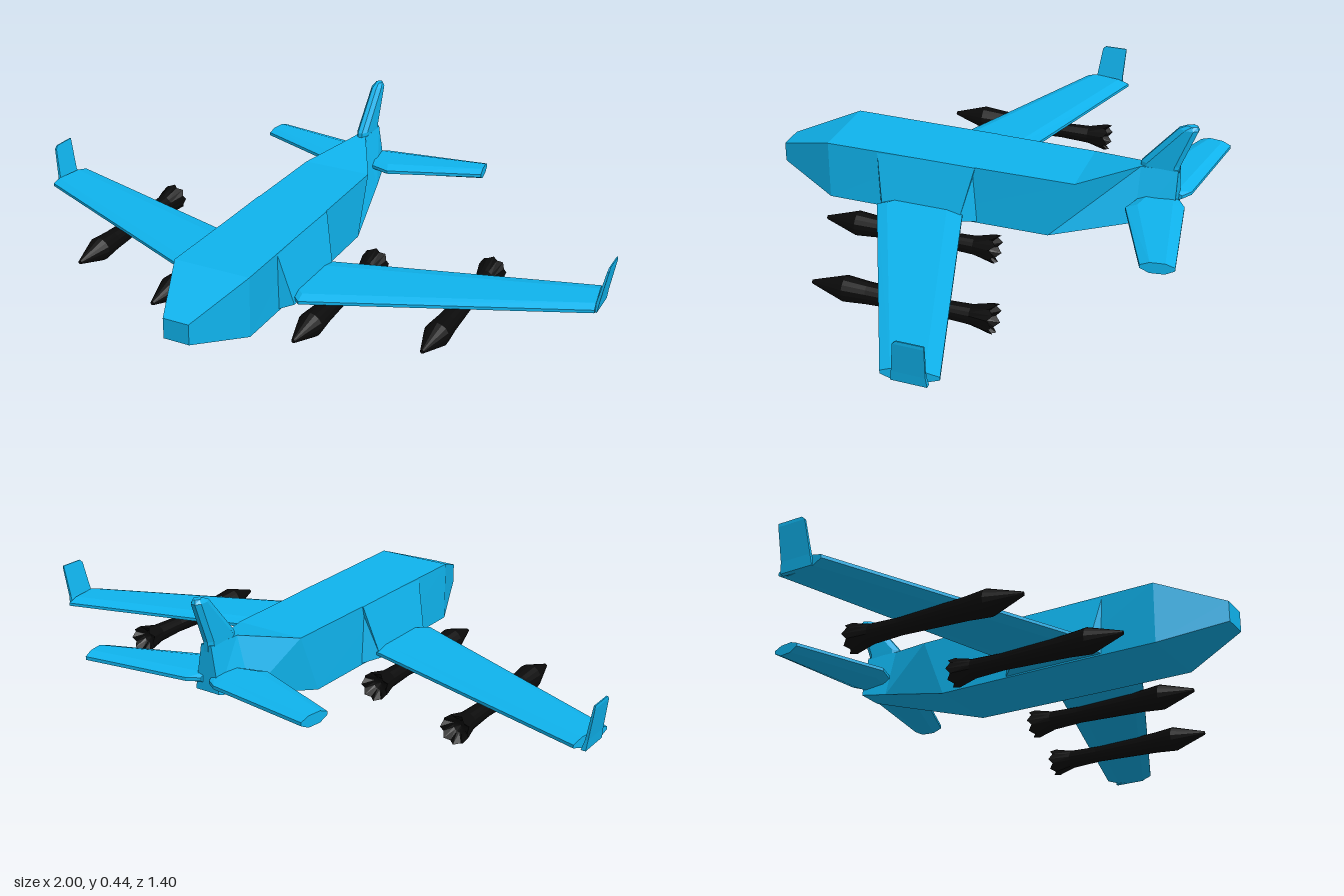
import * as THREE from 'three';

const blue = new THREE.MeshStandardMaterial({ color: 0x0fb4ee, flatShading: true });
const black = new THREE.MeshStandardMaterial({ color: 0x0a0a0a, flatShading: true, side: THREE.DoubleSide });

// Closed faceted solid through a row of equal-length point loops
function loft(name, loops) {
  const tris = [];
  const n = loops[0].length;
  for (let s = 0; s < loops.length - 1; s++) {
    const a = loops[s], b = loops[s + 1];
    for (let i = 0; i < n; i++) {
      const j = (i + 1) % n;
      tris.push([a[i], a[j], b[j]], [a[i], b[j], b[i]]);
    }
  }
  const first = loops[0], last = loops[loops.length - 1];
  for (let i = 1; i < n - 1; i++) {
    tris.push([first[0], first[i + 1], first[i]], [last[0], last[i], last[i + 1]]);
  }
  // Turn the faces outward whichever way the loops run
  let volume = 0;
  const [a, b, c] = [0, 1, 2].map(() => new THREE.Vector3());
  for (const t of tris) volume += a.set(...t[0]).dot(b.set(...t[1]).cross(c.set(...t[2])));
  if (volume < 0) tris.forEach(t => t.reverse());
  const geometry = new THREE.BufferGeometry();
  geometry.setAttribute('position', new THREE.Float32BufferAttribute(tris.flat(2), 3));
  geometry.computeVertexNormals();
  const mesh = new THREE.Mesh(geometry, blue);
  mesh.name = name;
  return mesh;
}

// Four-cornered body section; top and bottom edges may sit at different z
const section = (topZ, topY, topW, botZ, botY, botW) => [
  [topW, topY, topZ], [-topW, topY, topZ], [-botW, botY, botZ], [botW, botY, botZ],
];

// Chamfered wing section from a leading to a trailing point, each [x, z]
function airfoil(lead, trail, y0, y1, nose, tail) {
  const h = y1 - y0;
  return [
    [0, 0.4], [0, 0.7], [nose, 1], [1 - tail, 1],
    [1, 0.7], [1, 0.4], [1 - tail, 0], [nose, 0],
  ].map(([t, v]) => [
    lead[0] + (trail[0] - lead[0]) * t, y0 + h * v, lead[1] + (trail[1] - lead[1]) * t,
  ]);
}

const mirrorLoops = (loops, side) => loops.map(l => l.map(([x, y, z]) => [x * side, y, z]));

// Slender engine with a flared, notched tail
function engine(x, noseZ) {
  const length = 0.575;
  const profile = [
    [0, 0], [0.006, 0], [0.04, 0.108], [0.034, 0.18], [0.026, 0.4],
    [0.03, 0.5], [0.045, length], [0.02, 0.54], [0, 0.53],
  ].map(p => new THREE.Vector2(...p));
  const geometry = new THREE.LatheGeometry(profile, 16);
  const p = geometry.attributes.position;
  for (let i = 0; i < p.count; i++) {
    const ring = Math.floor(i / profile.length);
    if (i % profile.length === 6 && ring % 2) p.setY(i, length - 0.015);
  }
  geometry.rotateX(-Math.PI / 2);
  geometry.computeVertexNormals();
  const mesh = new THREE.Mesh(geometry, black);
  mesh.name = 'engine';
  mesh.position.set(x, 0.05, noseZ);
  return mesh;
}

export function createModel() {
  const model = new THREE.Group();
  model.name = 'aeroplane';

  model.add(loft('fuselage', [
    section(0.7, 0.175, 0.042, 0.7, 0.11, 0.042),
    section(0.5, 0.25, 0.125, 0.5, 0.056, 0.125),
    section(0.17, 0.25, 0.122, 0.17, 0.056, 0.125),
    section(-0.32, 0.25, 0.115, -0.24, 0.056, 0.12),
    section(-0.5, 0.297, 0.02, -0.5, 0.126, 0.068),
    section(-0.615, 0.3, 0.018, -0.615, 0.157, 0.042),
  ]));

  // Upright fin with a narrow bevelled cap
  const finLoop = (y, front, back, w) => [
    [0.4 * w, y, front], [w, y, front - 0.02], [w, y, back + 0.015], [0.4 * w, y, back],
    [-0.4 * w, y, back], [-w, y, back + 0.015], [-w, y, front - 0.02], [-0.4 * w, y, front],
  ];
  model.add(loft('fin', [
    finLoop(0.28, -0.495, -0.615, 0.019),
    finLoop(0.31, -0.497, -0.617, 0.019),
    finLoop(0.438, -0.605, -0.665, 0.018),
    finLoop(0.45, -0.63, -0.66, 0.012),
  ]));

  for (const side of [1, -1]) {
    const part = (name, loops) => model.add(loft(name, mirrorLoops(loops, side)));

    // Fairing that bulges from the body side to the wing root
    part('wingFairing', [
      [[0.11, 0.25, 0.33], [0.11, 0.25, 0], [0.11, 0.056, -0.02], [0.11, 0.056, 0.33]],
      [[0.122, 0.25, 0.33], [0.122, 0.25, 0], [0.165, 0.075, 0.04], [0.165, 0.075, 0.3]],
    ]);

    part('wing', [
      airfoil([0.15, 0.28], [0.145, 0.04], 0.072, 0.105, 0.12, 0.18),
      airfoil([0.182, 0.31], [0.155, 0.03], 0.072, 0.105, 0.12, 0.18),
      airfoil([0.98, -0.05], [0.955, -0.212], 0.072, 0.105, 0.18, 0.25),
    ]);

    // Thin blade leaning outward at the wing tip
    part('winglet', [
      [[0.965, 0.072, -0.08], [0.98, 0.072, -0.08], [0.98, 0.072, -0.185], [0.965, 0.072, -0.185]],
      [[0.975, 0.105, -0.085], [0.984, 0.105, -0.085], [0.984, 0.105, -0.182], [0.975, 0.105, -0.182]],
      [[0.994, 0.205, -0.098], [1, 0.205, -0.098], [1, 0.205, -0.187], [0.994, 0.205, -0.187]],
      [[0.996, 0.215, -0.108], [1, 0.215, -0.108], [1, 0.215, -0.187], [0.996, 0.215, -0.187]],
    ]);

    part('tailplane', [
      airfoil([0.02, -0.51], [0.015, -0.625], 0.175, 0.21, 0.2, 0.2),
      airfoil([0.112, -0.48], [0.05, -0.648], 0.175, 0.21, 0.2, 0.2),
      airfoil([0.408, -0.6], [0.393, -0.7], 0.175, 0.21, 0.28, 0.28),
    ]);

    model.add(engine(side * 0.242, 0.455), engine(side * 0.595, 0.335));
  }
  return model;
}
